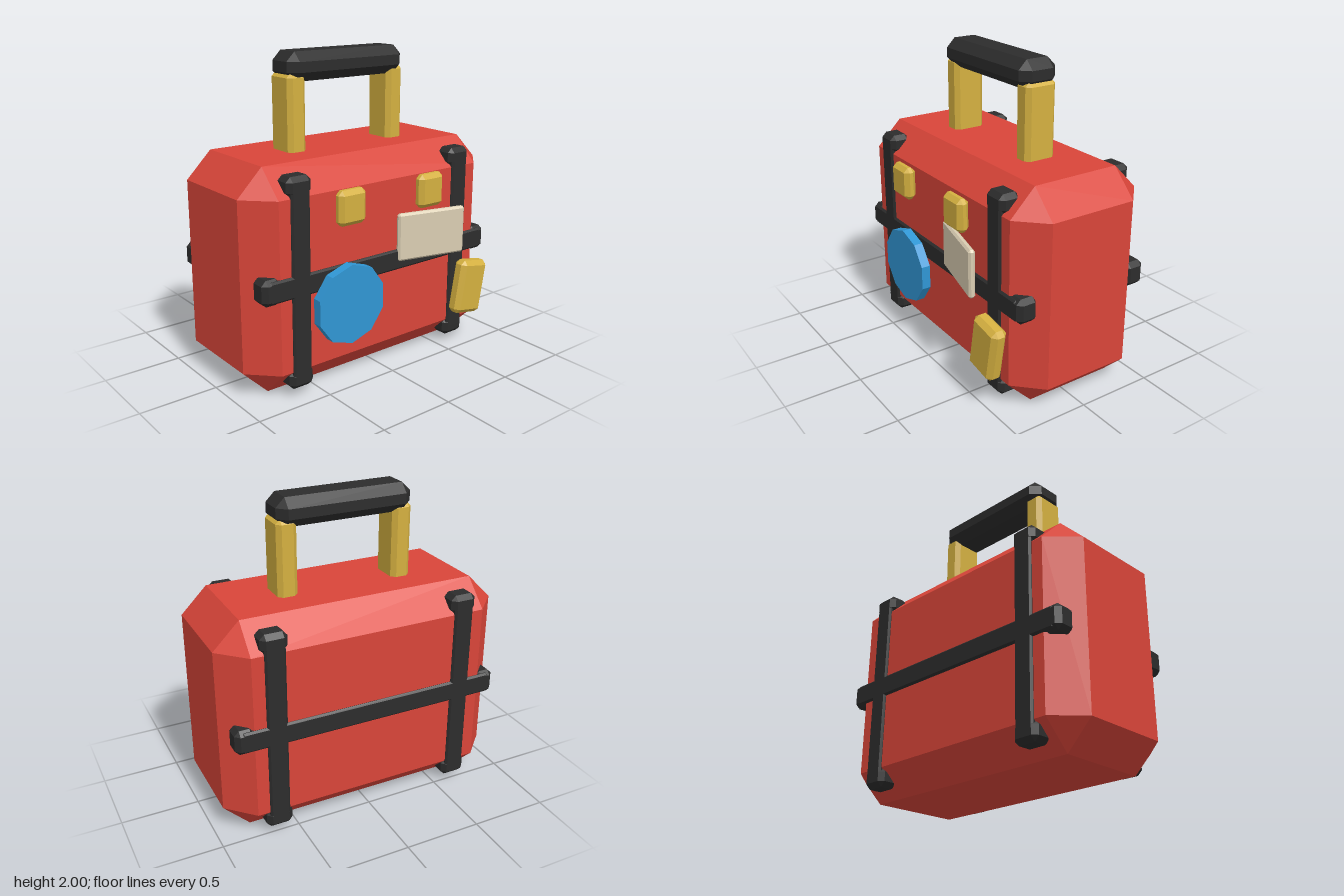
import * as THREE from 'three';
import { ConvexGeometry } from 'three/addons/geometries/ConvexGeometry.js';

// Box with flat chamfered edges and triangular corners
function chamferBox(w, h, d, c) {
  const points = [];
  for (const sx of [-1, 1]) for (const sy of [-1, 1]) for (const sz of [-1, 1]) {
    const x = w / 2, y = h / 2, z = d / 2;
    points.push(
      new THREE.Vector3(sx * x, sy * (y - c), sz * (z - c)),
      new THREE.Vector3(sx * (x - c), sy * y, sz * (z - c)),
      new THREE.Vector3(sx * (x - c), sy * (y - c), sz * z));
  }
  return new ConvexGeometry(points);
}

function material(name, color) {
  const m = new THREE.MeshStandardMaterial({ color });
  m.name = name;
  return m;
}

export function createModel() {
  const model = new THREE.Group();
  model.name = 'suitcase';
  const red = material('red shell', 0xd94539);
  const black = material('black strap', 0x2c2c2c);
  const gold = material('gold metal', 0xd4b040);
  const blue = material('blue sticker', 0x3096d4);
  const beige = material('beige paper', 0xdacdb2);

  function add(name, geometry, mat, x, y, z) {
    const mesh = new THREE.Mesh(geometry, mat);
    mesh.name = name;
    mesh.position.set(x, y, z);
    model.add(mesh);
    return mesh;
  }

  // Shell
  const midZ = -0.06;
  add('shell', chamferBox(1.88, 1.4, 0.92, 0.167), red, 0, 0.7, midZ);

  // Straps with thicker end caps, front and back
  const upright = chamferBox(0.13, 1.2, 0.06, 0.012);
  const belt = chamferBox(1.7, 0.135, 0.06, 0.012);
  const uprightCap = chamferBox(0.17, 0.12, 0.14, 0.03);
  const beltCap = chamferBox(0.125, 0.16, 0.14, 0.03);
  for (const side of [-1, 1]) {
    const barZ = midZ + side * 0.445;
    const capZ = midZ + side * 0.405;
    add('belt', belt, black, 0, 0.703, barZ);
    for (const s of [-1, 1]) {
      add('uprightStrap', upright, black, s * 0.63, 0.703, barZ);
      add('beltCap', beltCap, black, s * 0.83, 0.703, capZ);
      for (const t of [-1, 1]) {
        add('uprightCap', uprightCap, black, s * 0.63, 0.703 + t * 0.593, capZ);
      }
    }
  }

  // Handle posts, grip and buckles
  const post = chamferBox(0.13, 0.58, 0.215, 0.028);
  const buckle = chamferBox(0.2, 0.215, 0.08, 0.028);
  for (const s of [-1, 1]) {
    add('handlePost', post, gold, s * 0.385, 1.585, midZ);
    add('buckle', buckle, gold, s * 0.313, 1.138, 0.46);
  }
  add('handleGrip', chamferBox(0.89, 0.18, 0.265, 0.058), black, 0, 1.91, midZ);

  // Round ten-sided sticker
  const disc = new THREE.CylinderGeometry(0.2525, 0.2525, 0.06, 10).toNonIndexed();
  disc.computeVertexNormals();
  add('roundSticker', disc, blue, -0.317, 0.533, 0.455).rotation.x = Math.PI / 2;

  // Tilted label and hanging tag
  add('paperLabel', chamferBox(0.48, 0.31, 0.042, 0.013), beige, 0.337, 0.847, 0.46).rotation.y = -0.23;
  add('luggageTag', chamferBox(0.235, 0.365, 0.105, 0.03), gold, 0.675, 0.413, 0.482).rotation.z = -0.175;

  return model;
}
